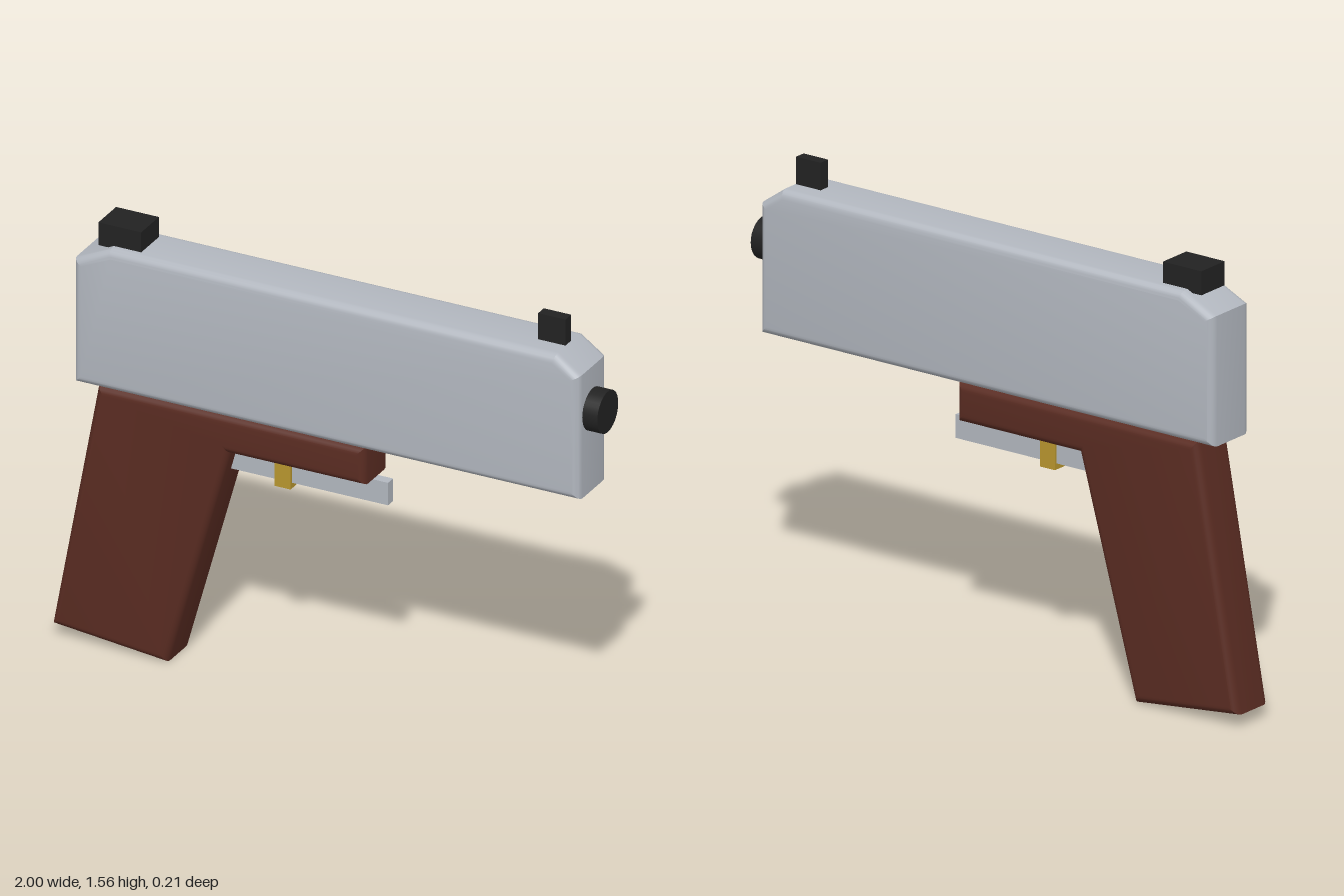
import * as THREE from 'three';
import { toCreasedNormals } from 'three/addons/utils/BufferGeometryUtils.js';

const paint = (name, color) => {
  const m = new THREE.MeshStandardMaterial({ color });
  m.name = name;
  return m;
};

export function createModel() {
  const silver = paint('silver', 0xb2b7bf);
  const wood = paint('brown', 0x5a2c22);
  const black = paint('black', 0x222222);
  const gold = paint('gold', 0xb8962e);
  const model = new THREE.Group();

  const add = (name, geometry, material) => {
    const mesh = new THREE.Mesh(geometry, material);
    mesh.name = name;
    model.add(mesh);
    return mesh;
  };

  // Side profile extruded across z, with rounded side edges kept inside the outline
  const plate = (name, points, halfWidth, bevel, material) => {
    const shape = new THREE.Shape(points.map(([x, y]) => new THREE.Vector2(x, y)));
    const g = new THREE.ExtrudeGeometry(shape, {
      depth: 2 * (halfWidth - bevel), bevelEnabled: bevel > 0, bevelThickness: bevel,
      bevelSize: bevel, bevelOffset: -bevel, bevelSegments: 5,
    });
    g.translate(0, 0, bevel - halfWidth);
    return add(name, toCreasedNormals(g, 0.4), material);
  };

  // Box given by its x and y limits, centred on z
  const block = (name, x0, x1, y0, y1, width, material) =>
    add(name, new THREE.BoxGeometry(x1 - x0, y1 - y0, width), material)
      .position.set((x0 + x1) / 2, (y0 + y1) / 2, 0);

  // Upper body with chamfered top corners
  plate('slide', [[-0.91, 0.957], [0.945, 0.957], [0.945, 1.408], [0.857, 1.47],
    [-0.78, 1.47], [-0.91, 1.408]], 0.103, 0.03, silver);

  // Slanted handle and the frame in front of it
  plate('grip', [[-1, 0.047], [-0.577, 0.002], [-0.35, 0.818], [0.15, 0.818],
    [0.15, 0.957], [-0.832, 0.957]], 0.088, 0.03, wood);

  // Bar under the frame and the trigger
  plate('guardBar', [[-0.38, 0.733], [0.203, 0.733], [0.203, 0.815], [-0.36, 0.815]],
    0.018, 0, silver);
  block('trigger', -0.21, -0.15, 0.712, 0.819, 0.054, gold);

  // Sights
  block('rearSight', -0.837, -0.68, 1.46, 1.543, 0.125, black);
  block('frontSight', 0.755, 0.855, 1.46, 1.565, 0.04, black);

  // Muzzle disc
  const muzzle = add('muzzle', new THREE.CylinderGeometry(0.074, 0.074, 0.08, 32), black);
  muzzle.rotation.z = -Math.PI / 2;
  muzzle.position.set(0.96, 1.253, 0);

  return model;
}
